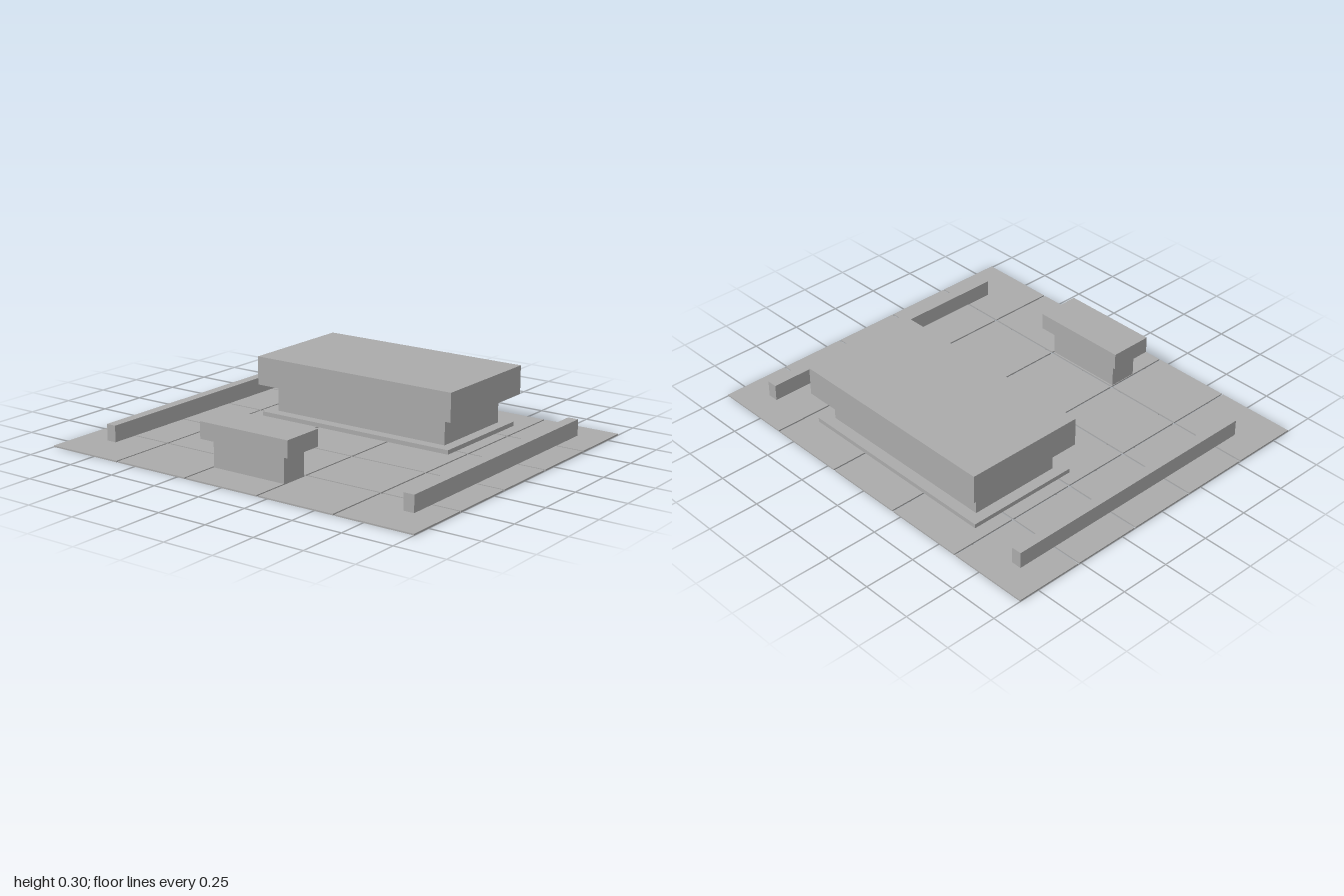
import * as THREE from 'three';

export function createModel() {
  const model = new THREE.Group();
  model.name = 'pavedCourt';
  const stone = new THREE.MeshStandardMaterial({ color: 0xaaaaaa });
  stone.name = 'grey stone';

  // Box given by its limits on each axis
  function block(name, [x0, x1], [y0, y1], [z0, z1], parent = model) {
    const mesh = new THREE.Mesh(new THREE.BoxGeometry(x1 - x0, y1 - y0, z1 - z0), stone);
    mesh.position.set((x0 + x1) / 2, (y0 + y1) / 2, (z0 + z1) / 2);
    mesh.name = name;
    parent.add(mesh);
  }

  // Five by five paving slabs with narrow open joints
  const paving = new THREE.Group();
  paving.name = 'paving';
  model.add(paving);
  const n = 5, gap = 0.009, halfX = 1, halfZ = 0.853, top = 0.007;
  const w = (2 * halfX - (n - 1) * gap) / n;
  const d = (2 * halfZ - (n - 1) * gap) / n;
  for (let i = 0; i < n; i++) {
    for (let j = 0; j < n; j++) {
      const x = -halfX + i * (w + gap), z = -halfZ + j * (d + gap);
      block('pavingSlab', [x, x + w], [0, top], [z, z + d], paving);
    }
  }

  // Low kerbs along both sides
  block('rightKerb', [-0.855, -0.805], [top, 0.087], [-0.713, 0.648]);
  block('leftKerb', [0.808, 0.861], [top, 0.087], [-0.713, 0.648]);

  // Main building: plinth, walls and overhanging roof
  const hall = new THREE.Group();
  hall.name = 'hall';
  model.add(hall);
  block('hallPlinth', [-0.534, 0.536], [top, 0.028], [-0.675, -0.103], hall);
  block('hallWalls', [-0.48, 0.482], [0.028, 0.164], [-0.619, -0.157], hall);
  block('hallRoof', [-0.55, 0.556], [0.164, 0.304], [-0.693, -0.089], hall);

  // Small gatehouse at the front
  const gate = new THREE.Group();
  gate.name = 'gatehouse';
  model.add(gate);
  block('gateWalls', [-0.194, 0.199], [top, 0.14], [0.526, 0.667], gate);
  block('gateRoof', [-0.24, 0.247], [0.14, 0.221], [0.488, 0.703], gate);

  return model;
}
